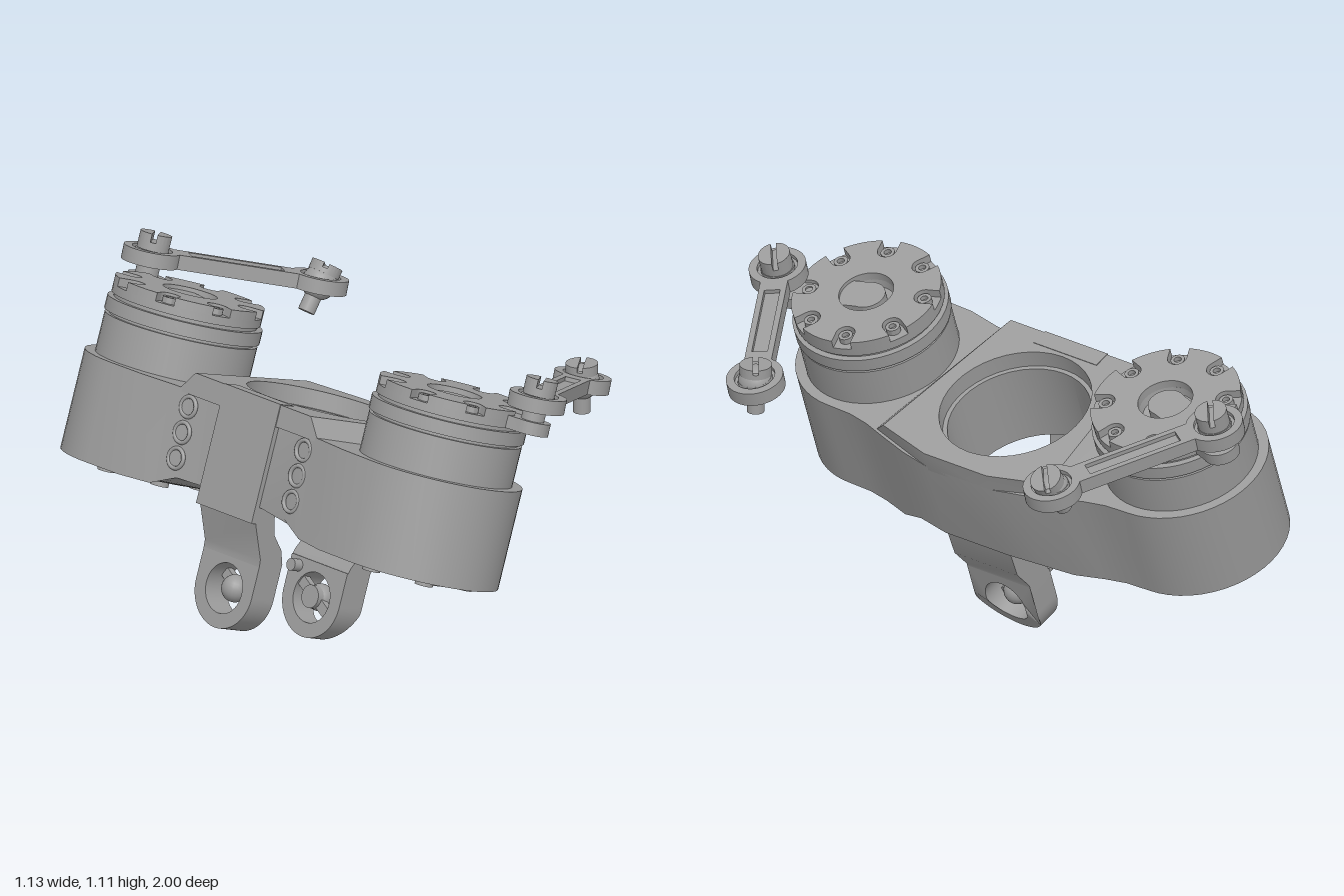
import * as THREE from 'three';
import { toCreasedNormals } from 'three/addons/utils/BufferGeometryUtils.js';

const metal = new THREE.MeshStandardMaterial({ color: 0x9c9c9c });
metal.name = 'grey metal';

const add = (parent, name, geo, x = 0, y = 0, z = 0) => {
  const m = new THREE.Mesh(geo, metal);
  m.name = name;
  m.position.set(x, y, z);
  parent.add(m);
  return m;
};
const group = (parent, name, x = 0, y = 0, z = 0) => {
  const g = new THREE.Group();
  g.name = name;
  g.position.set(x, y, z);
  parent.add(g);
  return g;
};
const crease = (g) => toCreasedNormals(g, 0.6);
const extrude = (shape, depth) =>
  new THREE.ExtrudeGeometry(shape, { depth, bevelEnabled: false, curveSegments: 20 });
// Horizontal plate between two heights; shape y becomes -z
const plate = (shape, y0, y1) => extrude(shape, y1 - y0).rotateX(-Math.PI / 2).translate(0, y0, 0);
const poly = (pts) => new THREE.Shape(pts.map(([x, y]) => new THREE.Vector2(x, y)));
const circle = (x, y, r) => new THREE.Path().absarc(x, y, r, 0, Math.PI * 2, false);
const lathe = (pts) => crease(new THREE.LatheGeometry(pts.map(([r, y]) => new THREE.Vector2(r, y)), 48));
const cyl = (r, h, seg = 20) => new THREE.CylinderGeometry(r, r, h, seg);
const reshape = (geo, rule) => {
  const p = geo.attributes.position, v = new THREE.Vector3();
  for (let i = 0; i < p.count; i++) {
    rule(v.fromBufferAttribute(p, i));
    p.setXYZ(i, v.x, v.y, v.z);
  }
  return crease(geo);
};
// Two round ends joined by a straight bar
const dogbone = (len, r, w) => {
  const a = Math.asin(w / r), s = new THREE.Shape();
  s.absarc(0, 0, r, a, Math.PI * 2 - a, false);
  s.absarc(len, 0, r, Math.PI + a, Math.PI * 3 - a, false);
  s.closePath();
  return s;
};

const CX = -0.408, CZ = 0.62; // servo axis
const HX = -0.34;             // centre opening

function buildBody(root) {
  const half = [[-0.021, 0.13], [-0.045, 0.25], [-0.074, 0.35], [-0.105, 0.45], [-0.12, 0.53]];
  for (let i = 0; i <= 24; i++) {
    const a = (i / 24) * Math.PI;
    half.push([CX + 0.285 * Math.cos(a), CZ + 0.285 * Math.sin(a)]);
  }
  half.push([-0.688, 0.47], [-0.665, 0.35], [-0.652, 0.25], [-0.645, 0.14]);
  const outline = poly([...half, ...half.map(([x, z]) => [x, -z]).reverse()]);
  outline.holes.push(circle(HX, 0, 0.235), circle(CX, CZ, 0.25), circle(CX, -CZ, 0.25));
  // underside is arched up in the middle
  add(root, 'body', reshape(plate(outline, 0.341, 0.673), (v) => {
    if (v.y < 0.4) v.y += 0.052 * THREE.MathUtils.smoothstep(0.38 - Math.abs(v.z), 0, 0.15);
  }));

  // raised centre with sloping flanks
  const top = poly([[-0.66, -0.27], [-0.074, -0.34], [-0.021, -0.13], [-0.021, 0.13], [-0.074, 0.34], [-0.66, 0.27]]);
  top.holes.push(circle(HX, 0, 0.25));
  add(root, 'raisedCentre', reshape(plate(top, 0.66, 0.732), (v) => {
    if (v.y < 0.7 && Math.abs(v.z) > 0.255) {
      v.z *= 1.22;
      v.x = Math.min(v.x, -0.105);
    }
  }));

  for (const s of [1, -1]) {
    // column of three bolt sockets on the back
    for (let i = 0; i < 3; i++) {
      const ring = new THREE.TorusGeometry(0.033, 0.007, 8, 20).rotateY(Math.PI / 2);
      add(root, 'backSocket', ring, -0.655, 0.45 + i * 0.085, s * 0.27);
    }
    add(root, 'openingScrew', cyl(0.025, 0.05).rotateZ(Math.PI / 2), -0.165, 0.43, s * 0.155);
  }
}

function buildServo(root, s) {
  const g = group(root, 'servo', CX, 0, s * CZ);
  add(g, 'housing', lathe([[0, 0.375], [0.251, 0.375], [0.251, 0.805], [0.238, 0.805], [0.238, 0.815],
    [0.255, 0.815], [0.255, 0.86], [0.235, 0.86], [0.235, 0.872], [0.245, 0.872], [0.245, 0.9],
    [0.09, 0.9], [0.085, 0.875], [0.05, 0.865], [0.045, 0.81], [0, 0.81]]));

  // notched top flange with a screw in each notch
  const flange = new THREE.Shape();
  const step = Math.PI / 4, n0 = -s * 0.47, w = 0.13;
  for (let i = 0; i < 8; i++) {
    const a = n0 + i * step, d = 0.2;
    flange.absarc(0, 0, 0.245, a - step + w, a - w, false);
    flange.absarc(d * Math.cos(a), d * Math.sin(a), 0.032, a - Math.PI / 2, a - Math.PI * 1.5, true);
    const x = d * Math.cos(a), z = -d * Math.sin(a);
    add(g, 'flangeScrew', lathe([[0.023, 0.895], [0.023, 0.92], [0.012, 0.92], [0.012, 0.905], [0, 0.905]]), x, 0, z);
  }
  flange.closePath();
  flange.holes.push(circle(0, 0, 0.09));
  add(g, 'flange', crease(plate(flange, 0.899, 0.928)));

  // underside plate details
  for (let i = 0; i < 6; i++) {
    const a = (i / 6) * Math.PI * 2;
    add(g, 'undersideScrew', cyl(0.03, 0.06), 0.18 * Math.cos(a), 0.35, 0.18 * Math.sin(a));
  }
  add(g, 'undersideHub', lathe([[0, 0.36], [0.03, 0.36], [0.03, 0.335], [0.06, 0.335], [0.06, 0.38]]));
  add(g, 'connector', new THREE.BoxGeometry(0.1, 0.06, 0.06), -0.01, 0.35, s * 0.12);
}

// Screw head made of two halves with a slot between them
function slottedHead(parent, r, y, h) {
  add(parent, 'headBase', cyl(r, h * 0.5, 28), 0, y + h * 0.25, 0);
  for (const k of [0, Math.PI]) {
    const half = new THREE.Shape().absarc(0, 0, r, k + 0.17, k + Math.PI - 0.17, false);
    add(parent, 'headHalf', crease(plate(half, y + h * 0.5, y + h))).rotation.y = 0.7;
  }
}

function buildLink(root, s) {
  const A = [-0.325, 0.977, s * 0.905], B = [0.157, 1.003, s * 0.615], L = 0.5625;
  // horn from the servo flange to the post under the link
  const horn = group(root, 'horn', CX, 0, s * CZ);
  horn.rotation.y = -s * 1.285;
  add(horn, 'hornPlate', crease(plate(dogbone(0.297, 0.06, 0.058), 0.873, 0.915)));
  add(root, 'hornPost', cyl(0.038, 0.1), A[0], 0.93, A[2]);

  const tilt = group(root, 'link', ...A);
  tilt.rotation.z = 0.054;
  const link = group(tilt, 'linkArm');
  link.rotation.y = s * 0.541;
  const rails = dogbone(L, 0.093, 0.045);
  const x0 = 0.125, x1 = L - 0.125, w = 0.026;
  rails.holes.push(poly([[x0, -w], [x0, w], [x1, w], [x1, -w]]), circle(0, 0, 0.066), circle(L, 0, 0.066));
  add(link, 'linkFrame', crease(plate(rails, -0.024, 0.024)));
  add(link, 'linkWeb', crease(plate(dogbone(L, 0.085, 0.04), -0.01, 0.01)));
  for (const x of [0, L]) add(link, 'linkBearing', cyl(0.055, 0.04, 28), x, 0, 0);

  const capA = group(root, 'innerScrew', ...A);
  slottedHead(capA, 0.052, 0.02, 0.055);
  // outer ball joint, each side swivelled differently
  const ball = group(root, 'outerBallJoint', ...B);
  ball.rotation.z = s > 0 ? 0.326 : -0.27;
  add(ball, 'ball', new THREE.SphereGeometry(0.058, 24, 16));
  add(ball, 'pin', cyl(0.028, 0.1), 0, -0.053, 0);
  slottedHead(ball, 0.052, 0.03, 0.033);
}

function buildArm(root, name, x0, x1, profile, side) {
  const g = group(root, name);
  add(g, 'bracket', crease(extrude(poly(profile), 0.26).translate(0, 0, -0.13)));
  // rounded eye with a through hole
  const eye = new THREE.Shape();
  eye.moveTo(0.13, 0.21);
  eye.lineTo(-0.13, 0.21);
  eye.absarc(0, 0.097, 0.13, Math.PI, Math.PI * 2, false);
  eye.closePath();
  eye.holes.push(circle(0, 0.097, 0.082));
  add(g, 'eye', reshape(extrude(eye, x1 - x0).rotateY(Math.PI / 2).translate(x0, 0, 0), (v) => {
    if (side > 0 && v.x > x0 + 0.01 && v.y < 0.08) v.x -= (0.08 - v.y) * 0.4;
  }));
  // pivot screw held by a spoke, and a small peg on the inner face
  const mid = side > 0 ? x0 + 0.02 : x1 - 0.03, inner = side > 0 ? x0 : x1;
  add(g, 'spoke', new THREE.BoxGeometry(0.025, 0.035, 0.17), mid, 0.1, 0).rotation.x = 0.5;
  add(g, 'pivotScrew', cyl(0.038, 0.06).rotateZ(Math.PI / 2), inner + side * 0.022, 0.1, 0);
  add(g, 'pivotBall', new THREE.SphereGeometry(0.045, 20, 14), mid + side * 0.02, 0.1, 0);
  add(g, 'peg', cyl(0.02, 0.06).rotateZ(Math.PI / 2), inner - side * 0.005, 0.18, -0.09);
}

export function createModel() {
  const model = new THREE.Group();
  model.name = 'twinServoBracket';
  const root = group(model, 'tiltedAssembly');
  root.rotation.z = -0.3264;

  buildBody(root);
  for (const s of [1, -1]) {
    buildServo(root, s);
    buildLink(root, s);
  }
  buildArm(root, 'backArm', -0.58, -0.48, [[-0.58, 0.2], [-0.48, 0.2], [-0.48, 0.218], [-0.5, 0.263],
    [-0.548, 0.31], [-0.575, 0.4], [-0.66, 0.4], [-0.64, 0.332], [-0.583, 0.225]], -1);
  buildArm(root, 'frontArm', -0.177, -0.074, [[-0.177, 0.2], [-0.074, 0.2], [-0.074, 0.218], [-0.036, 0.294],
    [-0.029, 0.42], [-0.085, 0.42], [-0.085, 0.357], [-0.167, 0.228]], 1);
  add(root, 'backStrap', new THREE.BoxGeometry(0.06, 0.395, 0.26), -0.633, 0.5365, 0);
  return model;
}
